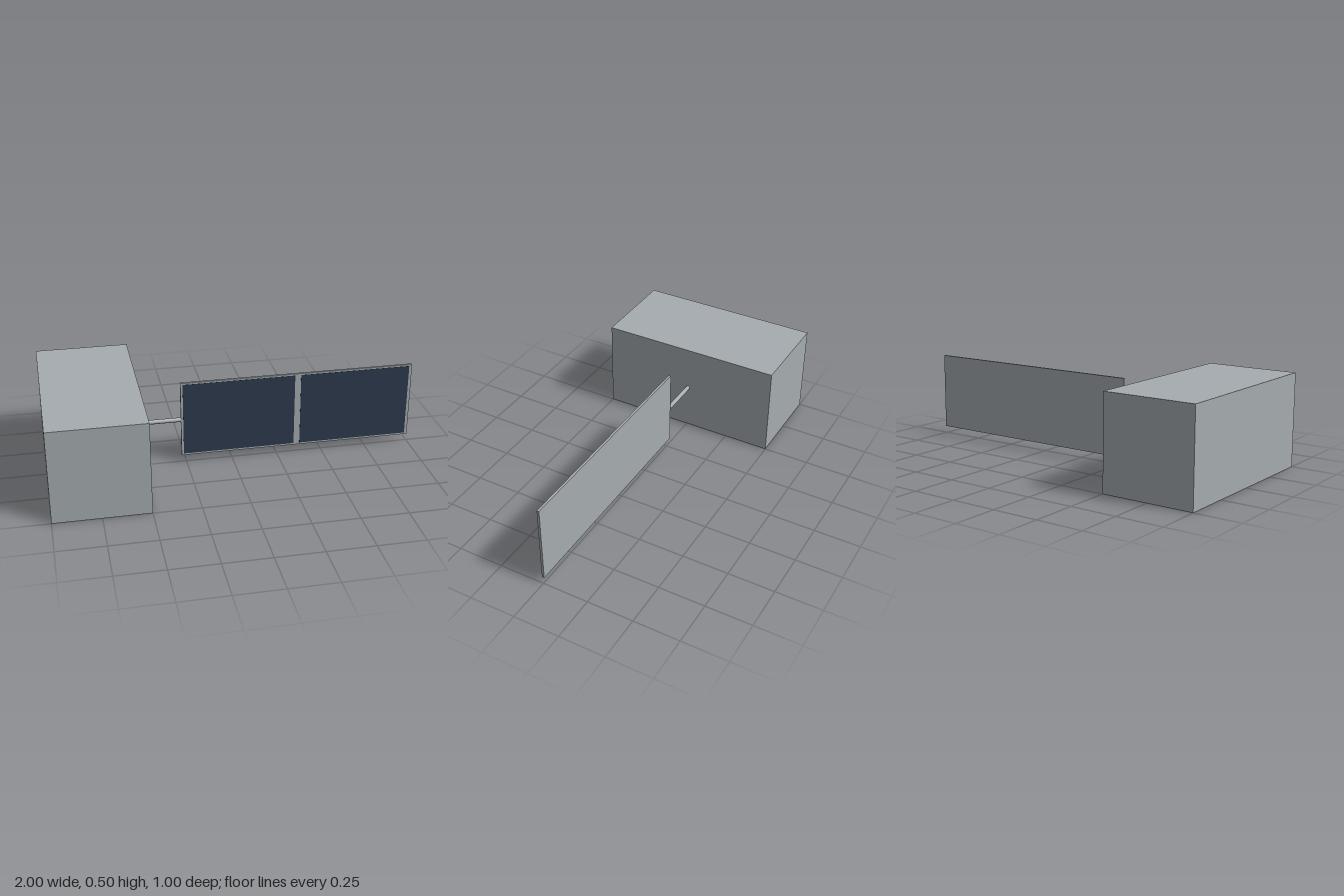
import * as THREE from 'three';

const grey = new THREE.MeshStandardMaterial({ color: 0xa5acaf });
grey.name = 'grey metal';
const navy = new THREE.MeshStandardMaterial({ color: 0x2c3a4e });
navy.name = 'navy solar cell';

// Box given by its lower and upper corners
function box(name, material, [x0, y0, z0], [x1, y1, z1]) {
  const mesh = new THREE.Mesh(new THREE.BoxGeometry(x1 - x0, y1 - y0, z1 - z0), material);
  mesh.position.set((x0 + x1) / 2, (y0 + y1) / 2, (z0 + z1) / 2);
  mesh.name = name;
  return mesh;
}

export function createModel() {
  const model = new THREE.Group();
  model.name = 'solarPanelModule';

  // Main body block
  model.add(box('body', grey, [-1, 0, -0.5], [-0.5, 0.5, 0.5]));

  // Round boom joining the body to the panel
  const boom = new THREE.Mesh(new THREE.CylinderGeometry(0.012, 0.012, 0.224, 16), grey);
  boom.name = 'boom';
  boom.rotation.z = Math.PI / 2;
  boom.position.set(-0.388, 0.252, 0);
  model.add(boom);

  // Panel frame with two cells on the front
  const panel = new THREE.Group();
  panel.name = 'panel';
  panel.add(box('panelFrame', grey, [-0.276, 0.04, -0.007], [1, 0.465, 0.006]));
  const cells = [[-0.264, 0.345], [0.378, 0.984]];
  cells.forEach(([x0, x1], i) => {
    panel.add(box(`solarCell${i + 1}`, navy, [x0, 0.05, 0.004], [x1, 0.456, 0.0075]));
  });
  model.add(panel);

  return model;
}
